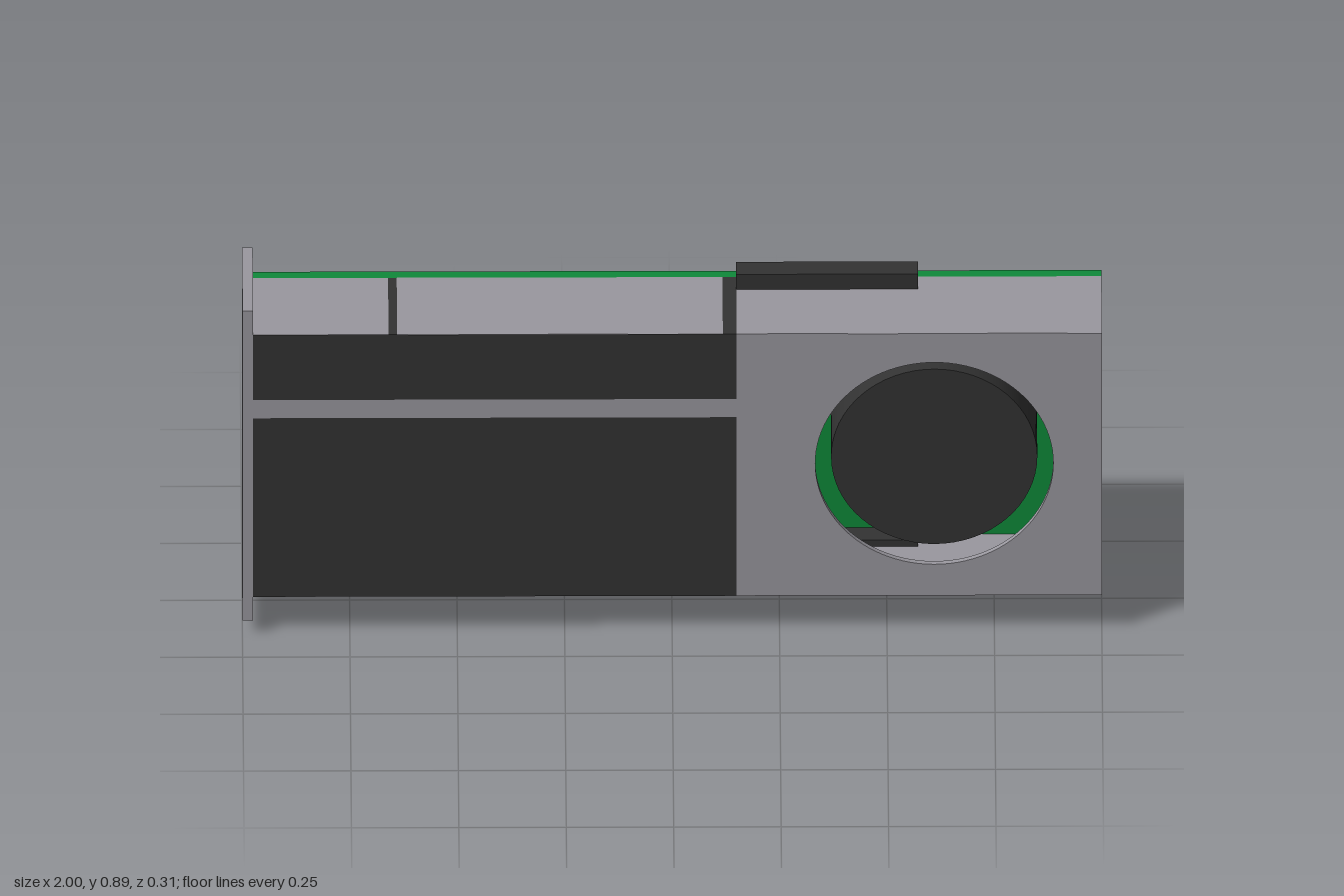
import * as THREE from 'three';

const mat = (name, color, side = THREE.FrontSide) =>
  Object.assign(new THREE.MeshStandardMaterial({ color, side }), { name });

export function createModel() {
  const grey = mat('grey metal', 0x9a989f);
  const dark = mat('dark plastic', 0x333333);
  const green = mat('board green', 0x0f8a3a);
  const gold = mat('contact gold', 0xc8a50f);
  const model = new THREE.Group();
  model.name = 'expansionCard';

  const add = (name, geometry, material) => {
    const mesh = new THREE.Mesh(geometry, material);
    mesh.name = name;
    model.add(mesh);
    return mesh;
  };
  // Box given by its limits on each axis
  const box = (name, m, x0, x1, y0, y1, z0, z1) =>
    add(name, new THREE.BoxGeometry(x1 - x0, y1 - y0, z1 - z0), m)
      .position.set((x0 + x1) / 2, (y0 + y1) / 2, (z0 + z1) / 2);
  const rect = (Type, x0, x1, y0, y1) => new Type([
    new THREE.Vector2(x0, y0), new THREE.Vector2(x1, y0),
    new THREE.Vector2(x1, y1), new THREE.Vector2(x0, y1)]);

  const L = -0.975, R = 1, B = 0.105, T = 0.823;
  const zBack = -0.125, zBoard = -0.097, zFront = 0.153, wall = 0.012;

  // Circuit board with a notched edge connector
  const outline = [[L, B], [-0.735, B], [-0.735, 0], [-0.66, 0], [-0.66, 0.08], [-0.643, 0.08],
    [-0.643, 0], [0.115, 0], [0.115, B], [R, B], [R, T], [L, T]];
  const boardShape = new THREE.Shape(outline.map(([x, y]) => new THREE.Vector2(x, y)));
  add('circuitBoard', new THREE.ExtrudeGeometry(boardShape, { depth: zBoard - zBack, bevelEnabled: false }), green)
    .position.z = zBack;

  // Gold contacts on both faces of the connector
  for (const [x0, x1] of [[-0.735, -0.66], [-0.643, 0.115]]) {
    box('frontContacts', gold, x0, x1, 0, 0.075, zBoard, zBoard + 0.001);
    box('backContacts', gold, x0, x1, 0, 0.075, zBack - 0.001, zBack);
  }

  // Hollow shroud: front with a round fan opening
  const front = rect(THREE.Shape, L, R, B, T);
  front.holes.push(new THREE.Path().absarc(0.61, 0.467, 0.277, 0, Math.PI * 2, true));
  add('shroudFront', new THREE.ExtrudeGeometry(front, { depth: wall, bevelEnabled: false, curveSegments: 48 }), grey)
    .position.z = zFront - wall - 0.002;
  // Outer skin of the front: dark panels split by a grey stripe, grey around the fan
  const skin = rect(THREE.Shape, 0.15, R, B, T);
  skin.holes = front.holes;
  add('fanSurround', new THREE.ExtrudeGeometry(skin, { depth: 0.002, bevelEnabled: false, curveSegments: 48 }), grey)
    .position.z = zFront - 0.002;
  box('lowerPanel', dark, L, 0.15, B, 0.595, zFront - 0.002, zFront);
  box('frontStripe', grey, L, 0.15, 0.595, 0.645, zFront - 0.002, zFront);
  box('upperPanel', dark, L, 0.15, 0.645, T, zFront - 0.002, zFront);

  // Shroud top in sections, with two dark bands
  const cuts = [L, -0.66, -0.64, 0.118, 0.15, R];
  for (let i = 0; i < 5; i++) {
    box(i % 2 ? 'topBand' : 'shroudTop', i % 2 ? dark : grey,
      cuts[i], cuts[i + 1], T - wall, T + 0.0005, zBoard, zFront - 0.0005);
  }
  box('shroudBottom', grey, L, R, B - 0.0005, B + wall, zBoard, zFront - 0.0005);
  box('shroudEnd', grey, R - wall, R + 0.0005, B, T, zBoard, zFront - 0.0005);

  // Fan drum
  const fan = add('fan', new THREE.CylinderGeometry(0.24, 0.24, 0.22, 64), dark);
  fan.rotation.x = Math.PI / 2;
  fan.position.set(0.61, 0.467, zBoard + 0.11);

  // Side blocks above and below the shroud
  box('topBlock', dark, 0.15, 0.573, T - 0.03, 0.865, zBoard, -0.042);
  box('bottomBlock', dark, 0.15, 0.573, 0.06, B + 0.03, zBoard, -0.042);

  // Mounting bracket with two port slots, drawn in the z-y plane and turned sideways
  const bracket = rect(THREE.Shape, -zFront, -zBack, 0.04, 0.89);
  for (const y of [0.7, 0.527]) bracket.holes.push(rect(THREE.Path, 0.024, 0.066, y - 0.06, y + 0.06));
  const plate = add('bracket', new THREE.ExtrudeGeometry(bracket, { depth: 0.025, bevelEnabled: false }), grey);
  plate.rotation.y = Math.PI / 2;
  plate.position.x = -1;

  // Parts on the back of the board
  box('backChipPlate', grey, -0.475, -0.1, 0.275, 0.65, -0.152, zBack);
  for (const y of [0.695, 0.53]) box('smallChip', dark, -0.725, -0.675, y - 0.06, y + 0.06, -0.137, zBack);

  return model;
}
